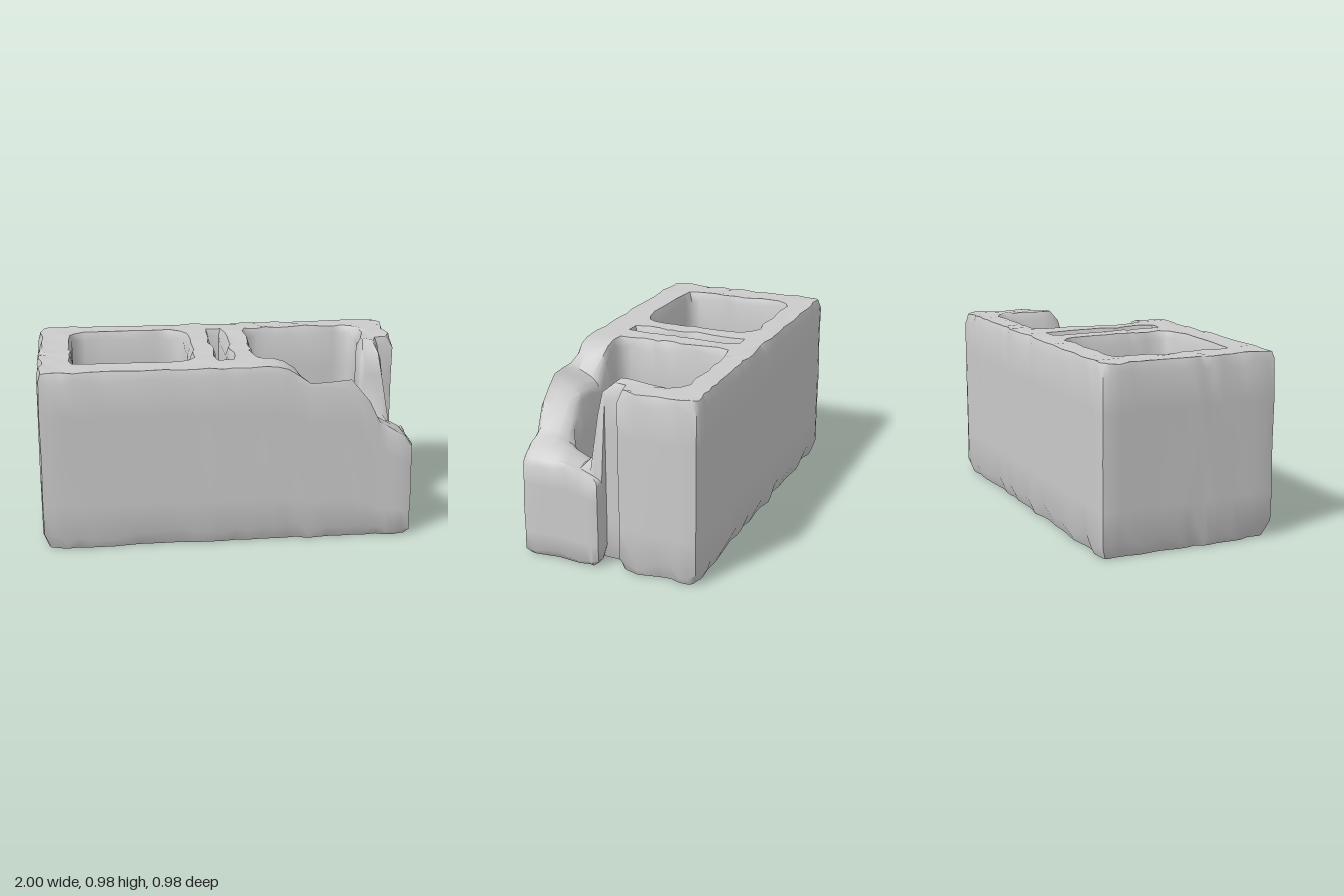
import * as THREE from 'three';
import { toCreasedNormals } from 'three/addons/utils/BufferGeometryUtils.js';

const HEIGHT = 0.98;

// plan grid lines; cells of this grid are either solid or open
const XS = [-1, -0.94, -0.87, -0.81, -0.74, -0.62, -0.48, -0.34, -0.25, -0.18, -0.105, -0.03, 0.03, 0.105,
  0.18, 0.25, 0.31, 0.37, 0.43, 0.54, 0.65, 0.7, 0.75, 0.81, 0.855, 0.9, 0.95, 1];
const ZS = [-0.49, -0.44, -0.39, -0.33, -0.27, -0.16, -0.05, 0, 0.05, 0.09, 0.115, 0.17, 0.24, 0.3, 0.36, 0.43, 0.49];
// openings: x0, x1, z0, z1 (two cores, centre slot, end groove)
const OPENINGS = [
  [-0.81, -0.18, -0.33, 0.3],
  [0.18, 0.81, -0.33, 0.3],
  [-0.03, 0.03, -0.33, 0.3],
  [0.9, 1, -0.05, 0.05],
];
// broken edges: along the front wall (x, y) and across the end wall (z, y)
const FRONT_BREAK = [[0.28, 0.98], [0.43, 0.88], [0.65, 0.89], [0.75, 0.77], [0.81, 0.65], [1, 0.54]];
const END_BREAK = [[0.03, 0.98], [0.09, 0.8], [0.115, 0.58], [0.17, 0.53], [0.3, 0.6], [0.36, 0.7], [0.49, 0.9]];

function profile(points, t) {
  if (t <= points[0][0]) return points[0][1];
  for (let i = 1; i < points.length; i++) {
    const [a, ya] = points[i - 1], [b, yb] = points[i];
    if (t <= b) return ya + (yb - ya) * (t - a) / (b - a);
  }
  return points[points.length - 1][1];
}

// repeatable roughness, 0..1
function rough(a, b, c) {
  const s = Math.sin(a * 127.1 + b * 311.7 + c * 74.7) * 43758.5453;
  return s - Math.floor(s);
}

function solid(i, k) {
  if (i < 0 || k < 0 || i >= XS.length - 1 || k >= ZS.length - 1) return false;
  const x = (XS[i] + XS[i + 1]) / 2, z = (ZS[k] + ZS[k + 1]) / 2;
  return !OPENINGS.some(([x0, x1, z0, z1]) => x > x0 && x < x1 && z > z0 && z < z1);
}

// height of the block above a plan point, including the broken corner
function topHeight(x, z, i, k) {
  let h = HEIGHT - 0.008 * rough(i, k, 5);
  if (z > 0.29) {
    const drop = x > 0.4 && x < 0.8 ? 0.09 * (0.49 - z) / 0.19 : 0;
    h = Math.min(h, profile(FRONT_BREAK, x) - drop);
  }
  if (x > 0.8) h = Math.min(h, profile(END_BREAK, z));
  if (x > 0.91 && z > 0.04) h = Math.min(h, 0.47 + 0.4 * (z - 0.05));
  return h;
}

const LEVELS = 6; // 0 is the underside, LEVELS is the top
function vertex(i, k, l) {
  let x = XS[i], z = ZS[k];
  const h = topHeight(x, z, i, k);
  const r = rough(i, k, l < 3 ? 1 : 2);
  const f = [0, 0.03 + 0.07 * r, 0.25, 0.5, 0.75, 0.97 - 0.04 * r, 1][l];

  // direction from the rim into the solid
  let dx = 0, dz = 0, count = 0;
  for (const [a, b] of [[-1, -1], [-1, 0], [0, -1], [0, 0]]) {
    if (solid(i + a, k + b)) { dx += a ? -1 : 1; dz += b ? -1 : 1; count++; }
  }
  dx = Math.sign(dx);
  dz = Math.sign(dz);
  let push = 0;
  if (count < 4) {
    push = 0.004 * rough(i, k, l);
    if (l === 0) push += 0.012 + 0.026 * r;       // chipped lower rim
    if (l === LEVELS) push += 0.008 + 0.022 * r;  // worn upper rim
    if (count === 1) push += 0.008;
    const core = Math.abs(x) > 0.1 && Math.abs(x) < 0.85 && Math.abs(z) < 0.4;
    if (core) push -= 0.02 * (1 - f);             // cores taper downwards
    if (core && count === 3) push -= 0.022;       // rounded core corners
  }
  x += dx * push;
  z += dz * push;
  // end wall swells into the core behind the groove
  if (XS[i] === 0.81 && Math.abs(ZS[k]) < 0.1 && l > 1) x -= 0.03;
  return [x, f * h, z];
}

function blockGeometry() {
  const positions = [];
  const quad = (a, b, c, d) => positions.push(...a, ...b, ...c, ...a, ...c, ...d);

  for (let i = 0; i < XS.length - 1; i++) {
    for (let k = 0; k < ZS.length - 1; k++) {
      if (!solid(i, k)) continue;
      const ring = [[i, k], [i, k + 1], [i + 1, k + 1], [i + 1, k]];
      const beside = [[i - 1, k], [i, k + 1], [i + 1, k], [i, k - 1]];
      // top and underside
      quad(...ring.map(([a, b]) => vertex(a, b, LEVELS)));
      quad(...ring.map(([a, b]) => vertex(a, b, 0)).reverse());
      // walls towards open cells
      ring.forEach(([a, b], n) => {
        if (solid(...beside[n])) return;
        const [c, d] = ring[(n + 1) % 4];
        for (let l = 0; l < LEVELS; l++) {
          quad(vertex(a, b, l + 1), vertex(a, b, l), vertex(c, d, l), vertex(c, d, l + 1));
        }
      });
    }
  }
  const geometry = new THREE.BufferGeometry();
  geometry.setAttribute('position', new THREE.Float32BufferAttribute(positions, 3));
  return toCreasedNormals(geometry, 0.95);
}

export function createModel() {
  const group = new THREE.Group();
  group.name = 'brokenConcreteBlock';
  const block = new THREE.Mesh(blockGeometry(), new THREE.MeshStandardMaterial({ color: 0xcccccc }));
  block.name = 'hollowBlock';
  group.add(block);
  return group;
}
